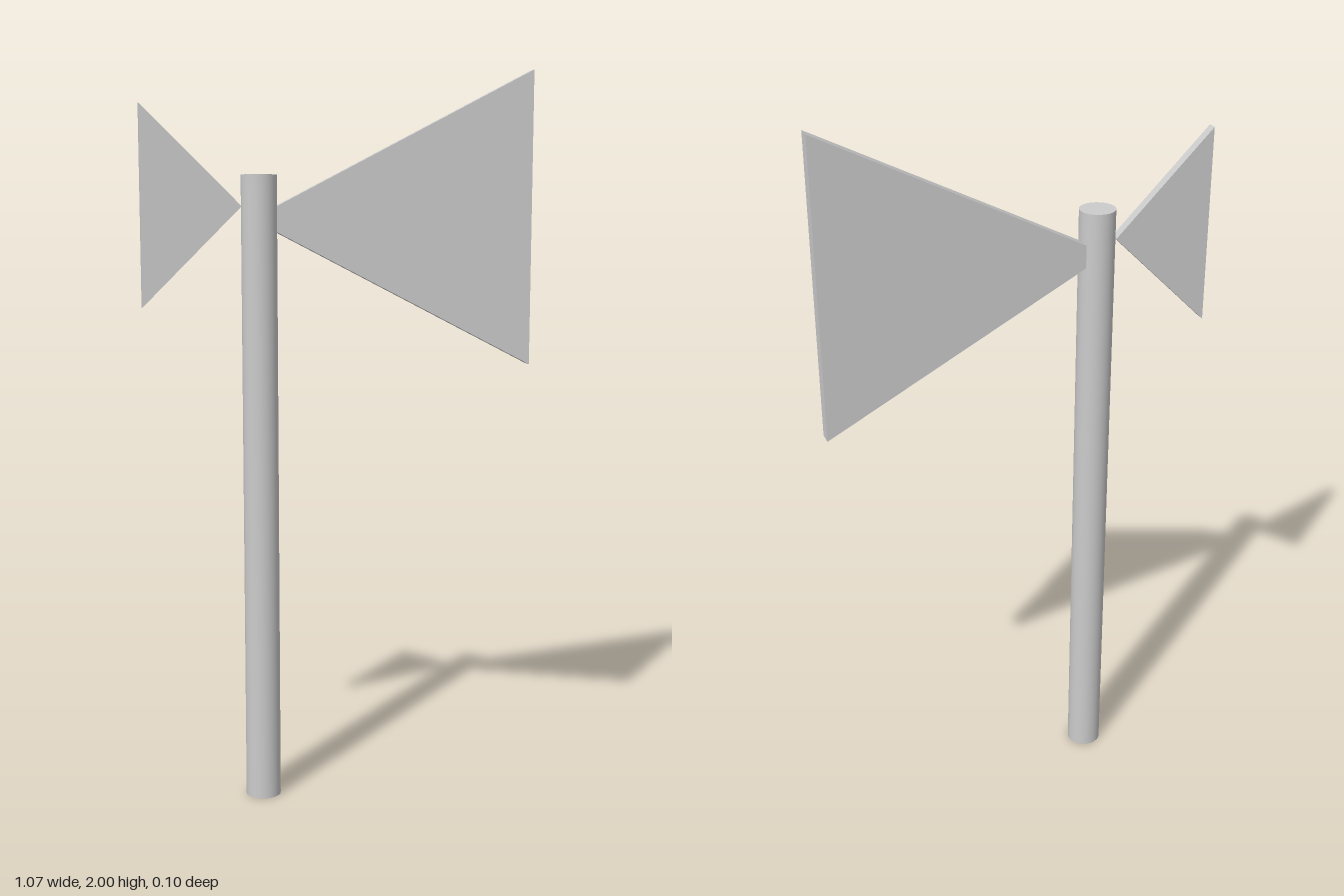
import * as THREE from 'three';

const material = new THREE.MeshStandardMaterial({ color: 0xcccccc });

// Flat triangular plate: vertical edge at edgeX, pointing at the apex
function makePlate(name, apexX, apexY, edgeX, halfHeight, zBack, zFront) {
  const shape = new THREE.Shape();
  shape.moveTo(apexX, apexY);
  shape.lineTo(edgeX, apexY - halfHeight);
  shape.lineTo(edgeX, apexY + halfHeight);
  shape.closePath();
  const geometry = new THREE.ExtrudeGeometry(shape, { depth: zFront - zBack, bevelEnabled: false });
  geometry.translate(0, 0, zBack);
  const plate = new THREE.Mesh(geometry, material);
  plate.name = name;
  return plate;
}

export function createModel() {
  const model = new THREE.Group();
  model.name = 'windVane';

  // Upright round pole
  const poleHeight = 1.717;
  const pole = new THREE.Mesh(new THREE.CylinderGeometry(0.048, 0.048, poleHeight, 48), material);
  pole.name = 'pole';
  pole.position.set(-0.219, poleHeight / 2, 0);
  model.add(pole);

  // Large tail runs into the pole, small pointer touches its other side
  model.add(makePlate('largeTail', -0.239, 1.6, 0.533, 0.4, -0.026, 0.012));
  model.add(makePlate('smallPointer', -0.266, 1.634, -0.533, 0.266, -0.018, 0.008));

  return model;
}
